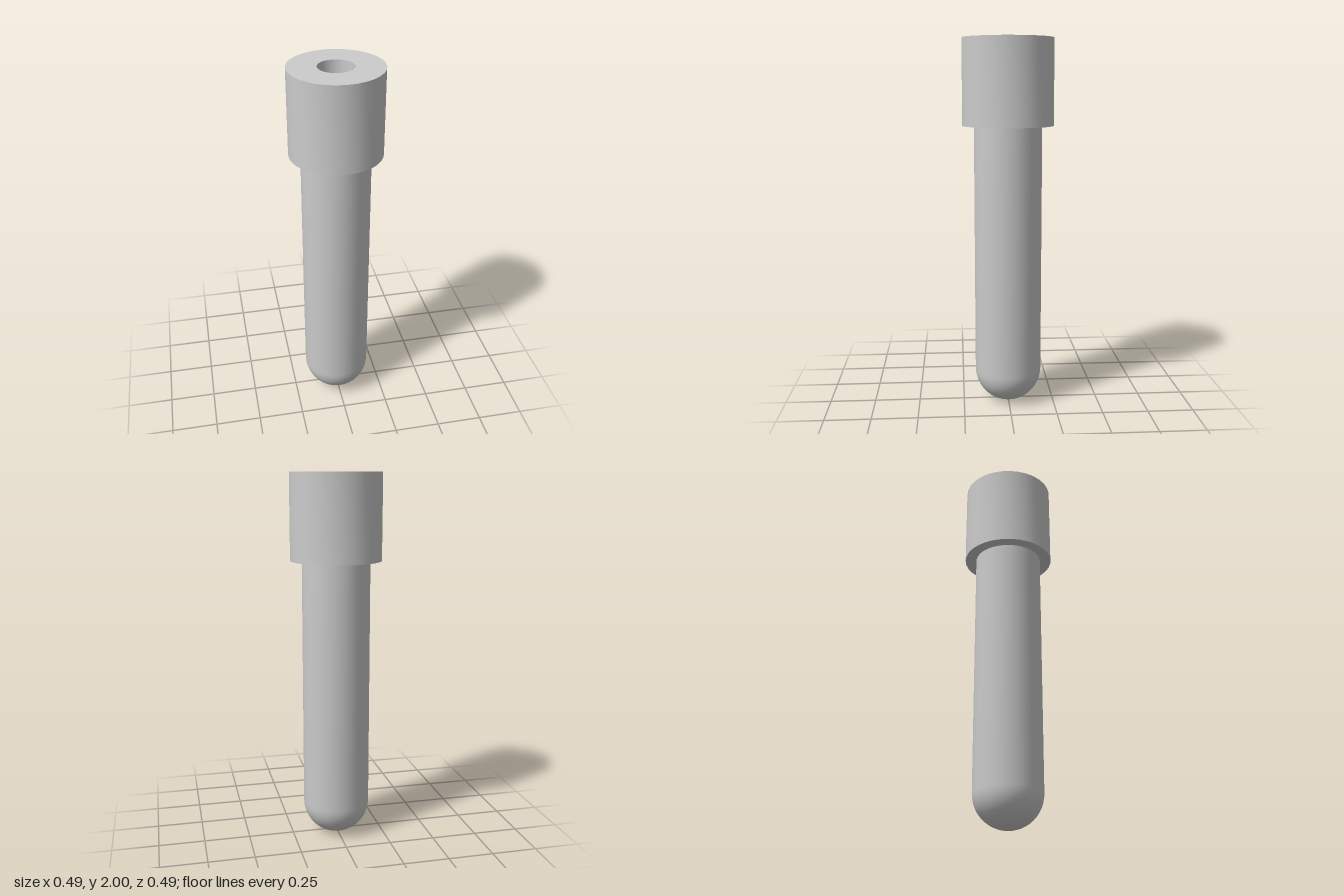
import * as THREE from 'three';
import { toCreasedNormals } from 'three/addons/utils/BufferGeometryUtils.js';

const CAP_BOTTOM = 1.54, TOP = 2;
const TUBE_RADIUS = 0.183, CAP_RADIUS = 0.245, HOLE_RADIUS = 0.093, HOLE_FLOOR = 1.77;

// Turned part from a profile of [radius, height] pairs, with sharp rims
function turned(name, profile, segments, material) {
  const points = profile.map(([r, y]) => new THREE.Vector2(r, y));
  const geometry = toCreasedNormals(new THREE.LatheGeometry(points, segments), Math.PI / 5);
  const mesh = new THREE.Mesh(geometry, material);
  mesh.name = name;
  return mesh;
}

export function createModel() {
  const group = new THREE.Group();
  group.name = 'cappedTube';
  const material = new THREE.MeshStandardMaterial({ color: 0xcccccc });

  // Straight tube with a hemispherical bottom, ending inside the cap
  const tubeProfile = [];
  const steps = 12;
  for (let i = 0; i <= steps; i++) {
    const a = (i / steps) * Math.PI / 2;
    tubeProfile.push([TUBE_RADIUS * Math.sin(a), TUBE_RADIUS * (1 - Math.cos(a))]);
  }
  tubeProfile.push([TUBE_RADIUS, CAP_BOTTOM + 0.02]);
  group.add(turned('tube', tubeProfile, 48, material));

  // Cap with a round blind hole in its top
  group.add(turned('cap', [
    [0, CAP_BOTTOM],
    [CAP_RADIUS, CAP_BOTTOM],
    [CAP_RADIUS, TOP],
    [HOLE_RADIUS, TOP],
    [HOLE_RADIUS, HOLE_FLOOR],
    [0, HOLE_FLOOR],
  ], 32, material));

  return group;
}
